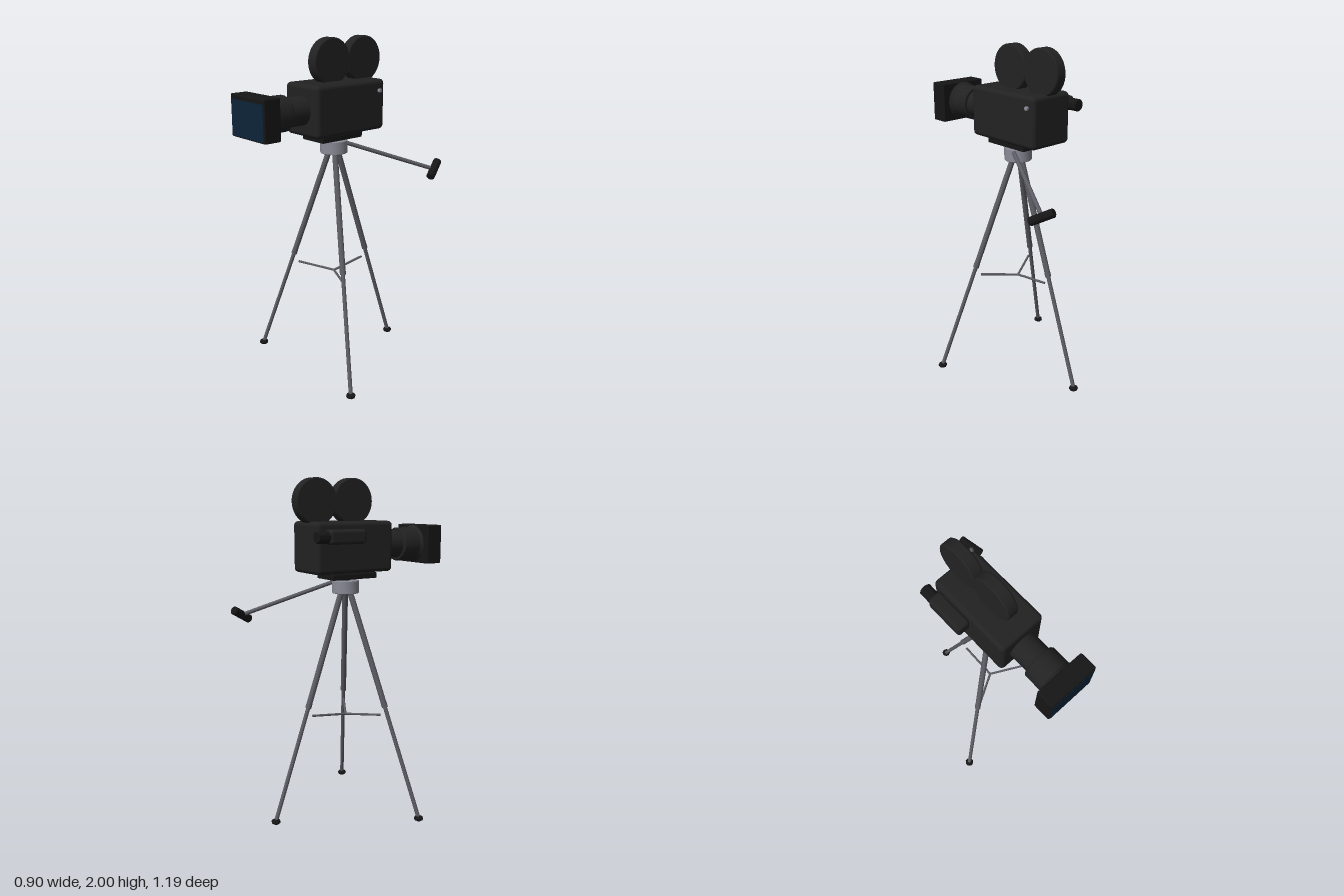
import * as THREE from 'three';
import { toCreasedNormals } from 'three/addons/utils/BufferGeometryUtils.js';
import { RoundedBoxGeometry } from 'three/addons/geometries/RoundedBoxGeometry.js';

const mat = (name, color) => {
  const m = new THREE.MeshStandardMaterial({ color });
  m.name = name;
  return m;
};

export function createModel() {
  const black = mat('camera black', 0x222222);
  const rubber = mat('rubber black', 0x161616);
  const steel = mat('leg grey', 0x5c5c64);
  const silver = mat('head silver', 0x8a8a96);
  const glass = mat('lens blue', 0x0c2438);

  const root = new THREE.Group();
  root.name = 'filmCameraOnTripod';
  const V = (x, y, z) => new THREE.Vector3(x, y, z);

  const add = (name, geo, material, x = 0, y = 0, z = 0, parent = root) => {
    const m = new THREE.Mesh(geo, material);
    m.name = name;
    m.position.set(x, y, z);
    parent.add(m);
    return m;
  };
  const roundBox = (w, h, d, r) => new RoundedBoxGeometry(w, h, d, 3, r);

  // Turned solid along y from [radius, height] points, with crisp edges
  const turned = (points, sides = 32) =>
    toCreasedNormals(new THREE.LatheGeometry(points.map(p => new THREE.Vector2(...p)), sides), 0.6);
  // Disc with a small bevel on both rims
  const disc = (r, h, b, sides = 32) => turned(
    [[0, -h / 2], [r - b, -h / 2], [r, -h / 2 + b], [r, h / 2 - b], [r - b, h / 2], [0, h / 2]], sides);
  // Straight rod between two points
  const rod = (name, a, b, r, material, sides = 12, parent = root) => {
    const dir = b.clone().sub(a);
    const mid = a.clone().add(b).multiplyScalar(0.5);
    const m = add(name, new THREE.CylinderGeometry(r, r, dir.length(), sides), material, mid.x, mid.y, mid.z, parent);
    m.quaternion.setFromUnitVectors(V(0, 1, 0), dir.normalize());
    return m;
  };

  // Camera body and film magazines
  add('cameraBody', roundBox(0.28, 0.29, 0.51, 0.025), black, 0, 1.615, -0.015);
  for (const z of [0.035, -0.205])
    add('filmMagazine', disc(0.13, 0.066, 0.006, 48), black, 0, 1.87, z).rotation.z = Math.PI / 2;

  // Lens barrel, turned about z
  const lens = add('lensBarrel', turned([
    [0, 0.22], [0.081, 0.22], [0.081, 0.36], [0.094, 0.36], [0.1, 0.368],
    [0.1, 0.475], [0.112, 0.492], [0, 0.492],
  ]), black, 0, 1.615, 0);
  lens.rotation.x = Math.PI / 2;

  // Matte box and front glass
  add('matteBox', roundBox(0.3, 0.23, 0.105, 0.008), rubber, 0, 1.615, 0.545);
  add('frontGlass', new THREE.BoxGeometry(0.28, 0.195, 0.004), glass, 0, 1.605, 0.598);

  // Viewfinder on the model's right side
  add('viewfinder', roundBox(0.08, 0.08, 0.235, 0.018), black, -0.177, 1.68, -0.113);
  add('eyepiece', disc(0.034, 0.09, 0.004, 24), rubber, -0.177, 1.68, -0.256).rotation.x = Math.PI / 2;

  // Small knob on the left side
  add('sideKnob', disc(0.012, 0.02, 0.003, 12), silver, 0.145, 1.697, -0.222).rotation.z = Math.PI / 2;

  // Mounting plate and tripod head
  add('mountingPlate', roundBox(0.18, 0.033, 0.3, 0.005), rubber, 0, 1.447, 0.01);
  add('headNeck', new THREE.CylinderGeometry(0.03, 0.03, 0.07, 16), rubber, 0, 1.44, 0);
  add('tripodHead', disc(0.08, 0.076, 0.003), silver, 0, 1.382, 0);

  // Pan handle with cross grip
  rod('panHandle', V(0.07, 1.405, -0.04), V(0.31, 1.222, -0.505), 0.012, steel);
  const grip = add('panGrip', disc(0.025, 0.15, 0.005, 16), rubber, 0.322, 1.216, -0.522);
  grip.quaternion.setFromUnitVectors(V(0, 1, 0), V(-0.055, 0.075, -0.13).normalize());

  // Three telescopic legs with feet and spreader arms
  for (let i = 0; i < 3; i++) {
    const leg = new THREE.Group();
    leg.name = 'tripodLeg';
    leg.rotation.y = Math.PI + i * Math.PI * 2 / 3;
    root.add(leg);
    const top = V(0, 1.35, 0.03), end = V(0, 0.02, 0.49);
    const joint = top.clone().lerp(end, 0.5);
    rod('upperLeg', top, joint, 0.017, steel, 12, leg);
    rod('lowerLeg', joint, end, 0.012, steel, 12, leg);
    rod('legCollar', top.clone().lerp(end, 0.485), top.clone().lerp(end, 0.505), 0.018, steel, 12, leg);
    add('foot', new THREE.SphereGeometry(0.028, 8, 6), rubber, 0, 0.018, 0.49, leg).scale.y = 0.62;
    rod('spreaderArm', V(0, 0.6, 0), V(0, 0.627, 0.232), 0.007, steel, 8, leg);
  }
  return root;
}
